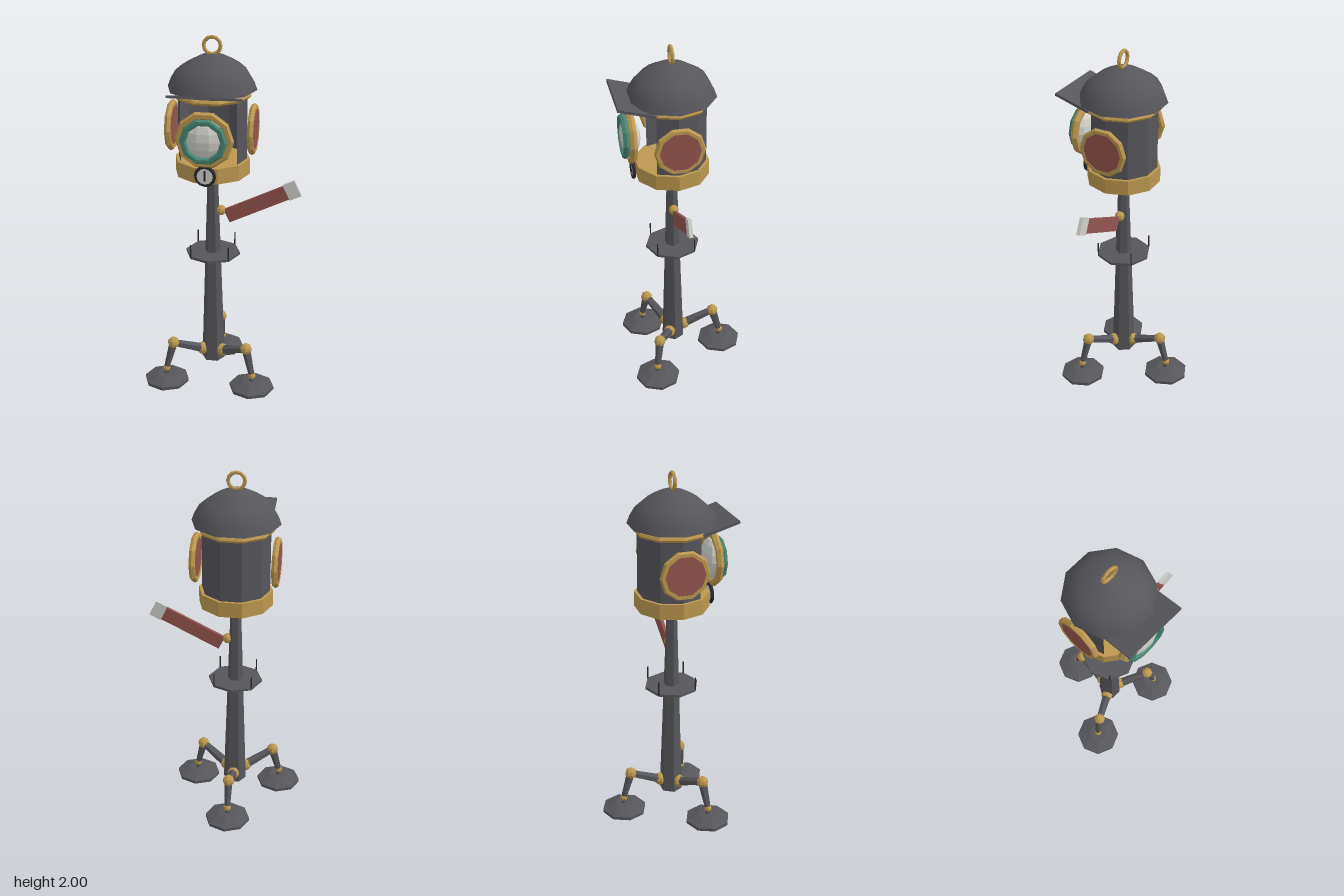
import * as THREE from 'three';

const mat = (name, color, opts = {}) => {
  const m = new THREE.MeshStandardMaterial({ color, ...opts });
  m.name = name;
  return m;
};
const V = (x, y, z) => new THREE.Vector3(x, y, z);

export function createModel() {
  const flat = { flatShading: true };
  const iron = mat('dark iron', 0x56565b, { ...flat, side: THREE.DoubleSide });
  const domeIron = mat('dark iron smooth', 0x56565b, { side: THREE.DoubleSide });
  const brass = mat('brass', 0xbc984f, flat);
  const red = mat('faded red', 0x94544e, flat);
  const white = mat('off white', 0xd2d2cc, flat);
  const teal = mat('teal', 0x478573, flat);
  const black = mat('black', 0x2a2a2d, flat);

  const root = new THREE.Group();
  root.name = 'lanternPost';
  // everything is placed around the post axis
  const body = new THREE.Group();
  body.name = 'body';
  body.position.set(-0.06, 0, 0.052);
  root.add(body);

  const add = (name, geo, material, x = 0, y = 0, z = 0, parent = body) => {
    const m = new THREE.Mesh(geo, material);
    m.name = name;
    m.position.set(x, y, z);
    parent.add(m);
    return m;
  };
  const cyl = (rt, rb, h, n, start = 0) => new THREE.CylinderGeometry(rt, rb, h, n, 1, false, start);
  const ball = (r) => new THREE.SphereGeometry(r, 8, 6);
  // tapered rod between two points
  const rod = (name, a, b, ra, rb, n, material) => {
    const m = add(name, cyl(rb, ra, a.distanceTo(b), n), material);
    m.position.copy(a).lerp(b, 0.5);
    m.quaternion.setFromUnitVectors(V(0, 1, 0), b.clone().sub(a).normalize());
    return m;
  };
  const quarter = Math.PI / 2;

  // post
  add('post', cyl(0.028, 0.066, 1.16, 6, quarter), iron, 0, 0.68, 0);

  // three jointed legs with pads
  for (let i = 0; i < 3; i++) {
    const a = Math.PI / 3 + (i * 2 * Math.PI) / 3;
    const at = (r, y) => V(Math.sin(a) * r, y, Math.cos(a) * r);
    const hip = at(0.066, 0.165), knee = at(0.243, 0.235), ankle = at(0.288, 0.078);
    add('hipJoint', ball(0.036), brass).position.copy(hip);
    add('kneeJoint', ball(0.034), brass).position.copy(knee);
    add('ankleJoint', ball(0.022), brass).position.copy(ankle);
    rod('thigh', hip, knee, 0.028, 0.021, 6, iron);
    rod('shin', knee, ankle, 0.026, 0.017, 6, iron);
    const pad = at(0.286, 0);
    add('footPad', cyl(0.127, 0.127, 0.018, 8), iron, pad.x, 0.009, pad.z);
    add('footPadTop', cyl(0.055, 0.127, 0.027, 8), iron, pad.x, 0.0315, pad.z);
    add('footStem', cyl(0.012, 0.016, 0.04, 6), iron, pad.x, 0.057, pad.z);
  }

  // tray with four pegs
  add('tray', cyl(0.152, 0.152, 0.014, 8), iron, 0, 0.775, 0);
  for (const sx of [-1, 1]) for (const sz of [-1, 1])
    add('trayPeg', cyl(0.004, 0.004, 0.075, 5), black, sx * 0.106, 0.815, sz * 0.106);

  // signal arm
  add('armPivot', ball(0.029), brass, 0.045, 1.03, 0);
  const arm = new THREE.Group();
  arm.name = 'signalArm';
  arm.position.set(0.078, 0.999, 0);
  arm.rotation.z = 0.454;
  body.add(arm);
  add('armBlade', new THREE.BoxGeometry(0.363, 0.08, 0.018), red, 0.1815, 0, 0, arm);
  add('armTip', new THREE.BoxGeometry(0.07, 0.094, 0.02), white, 0.398, 0, 0, arm);

  // lantern housing, open at the front
  add('housingBase', cyl(0.204, 0.204, 0.085, 10, quarter), brass, 0, 1.2975, 0);
  add('housingWall', new THREE.CylinderGeometry(0.187, 0.187, 0.37, 7, 1, true,
    THREE.MathUtils.degToRad(54), THREE.MathUtils.degToRad(252)), iron, 0, 1.52, 0);
  const rim = add('housingRim', new THREE.TorusGeometry(0.195, 0.014, 6, 10), brass, 0, 1.692, 0);
  rim.rotation.x = quarter;

  // domed cap, hanging ring and visor
  const dome = [[0.24, 1.722], [0.224, 1.765], [0.197, 1.81], [0.16, 1.842], [0.115, 1.87], [0.06, 1.897], [0, 1.906]]
    .map(([r, y]) => new THREE.Vector2(r, y));
  add('capDome', new THREE.LatheGeometry(dome, 10, quarter), domeIron);
  add('capUnderside', cyl(0.225, 0.225, 0.01, 10, quarter), iron, 0, 1.728, 0);
  add('hangingRing', new THREE.TorusGeometry(0.045, 0.01, 6, 12), brass, 0, 1.948, 0);
  const visor = add('visor', new THREE.BoxGeometry(0.357, 0.014, 0.205), iron, 0, 1.724, 0.212);
  visor.rotation.x = -0.29;

  // red side lamps
  for (const s of [-1, 1]) {
    const lamp = new THREE.Group();
    lamp.name = s > 0 ? 'leftLamp' : 'rightLamp';
    lamp.position.set(s * 0.22, 1.507, 0);
    lamp.rotation.y = s * quarter;
    body.add(lamp);
    add('lampRing', new THREE.TorusGeometry(0.12, 0.018, 6, 10), brass, 0, 0, 0, lamp);
    const disc = add('lampGlass', cyl(0.114, 0.114, 0.026, 12), red, 0, 0, 0.001, lamp);
    disc.rotation.x = quarter;
  }

  // front lens
  const lens = new THREE.Group();
  lens.name = 'frontLens';
  lens.position.set(0, 1.507, 0.225);
  body.add(lens);
  add('lensRing', new THREE.TorusGeometry(0.135, 0.021, 6, 10), brass, 0, 0, 0, lens);
  add('lensInnerRing', new THREE.TorusGeometry(0.107, 0.018, 6, 10), teal, 0, 0, 0.033, lens);
  const eye = add('lensGlass', new THREE.SphereGeometry(0.112, 10, 8), white, 0, 0, 0, lens);
  eye.scale.z = 0.48;

  // small dial under the lens
  const dial = new THREE.Group();
  dial.name = 'dial';
  dial.position.set(0, 1.305, 0.215);
  body.add(dial);
  add('dialRing', new THREE.TorusGeometry(0.05, 0.01, 6, 12), black, 0, 0, 0, dial);
  const face = add('dialFace', cyl(0.05, 0.05, 0.012, 12), white, 0, 0, 0, dial);
  face.rotation.x = quarter;
  add('dialNeedle', new THREE.BoxGeometry(0.01, 0.055, 0.006), black, 0, 0.004, 0.009, dial);
  add('dialHanger', new THREE.TorusGeometry(0.012, 0.004, 5, 8), black, 0, 0.06, 0, dial);

  return root;
}
